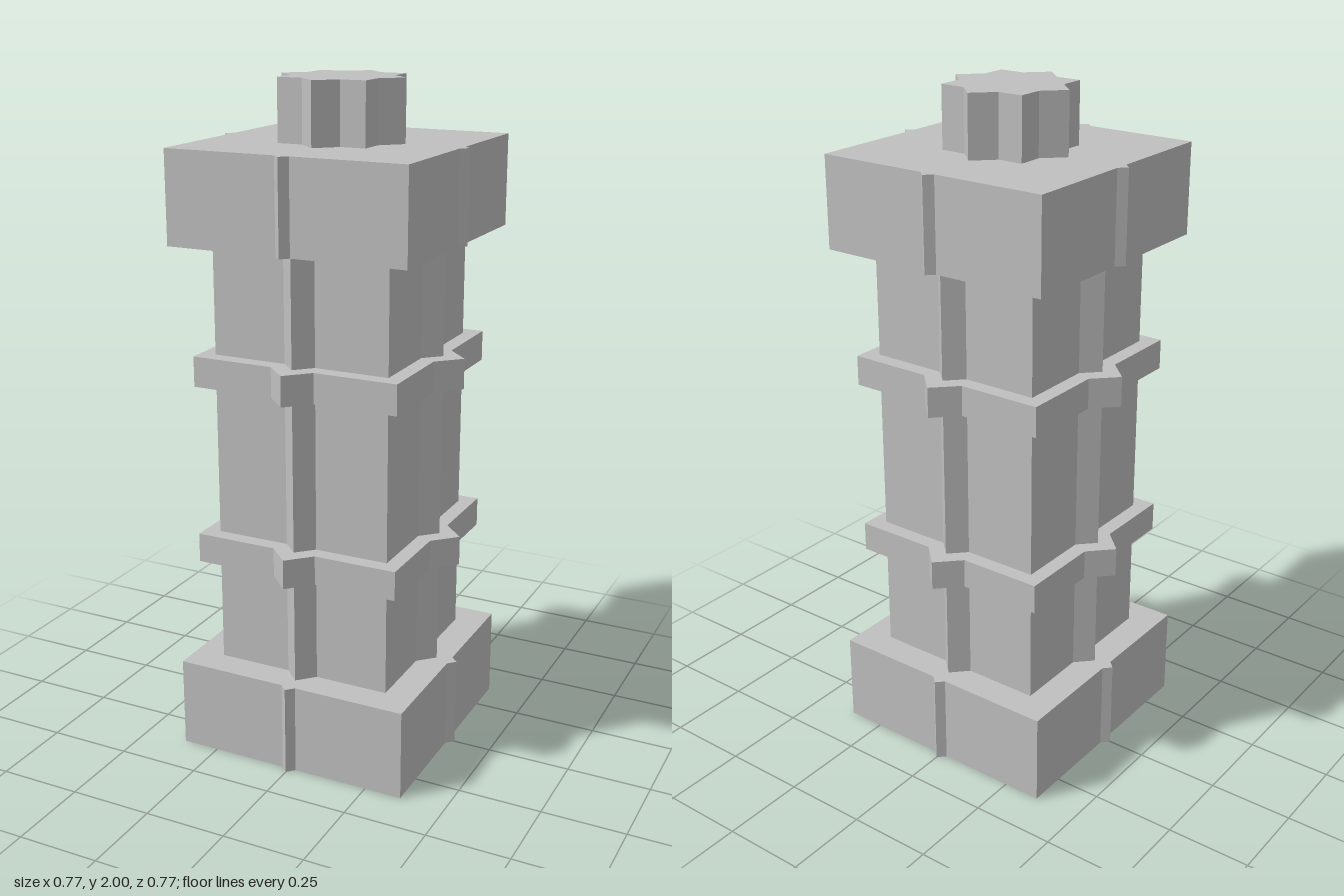
import * as THREE from 'three';

// Square outline of half-width h with a 45-degree point of reach t on each side
function pointedSquare(h, t) {
  const points = [];
  const b = t - h;
  for (let i = 0; i < 4; i++) {
    const turn = i * Math.PI / 2;
    for (const [x, y] of [[h, -h], [h, -b], [t, 0], [h, b]]) {
      points.push(new THREE.Vector2(x, y).rotateAround(new THREE.Vector2(), turn));
    }
  }
  return new THREE.Shape(points);
}

export function createModel() {
  const group = new THREE.Group();
  const stone = new THREE.MeshStandardMaterial({ color: 0xc0c0c0 });
  stone.name = 'stone grey';

  // name, half-width, point reach, bottom, top
  const tiers = [
    ['base', 0.363, 0.385, 0, 0.273],
    ['shaft', 0.272, 0.32, 0.273, 1.55],
    ['lowerBand', 0.318, 0.385, 0.595, 0.683],
    ['upperBand', 0.318, 0.385, 1.138, 1.228],
    ['capital', 0.363, 0.385, 1.55, 1.82],
    ['starFinial', 0.135, 0.193, 1.82, 2],
  ];
  for (const [name, h, t, bottom, top] of tiers) {
    const geometry = new THREE.ExtrudeGeometry(pointedSquare(h, t), {
      depth: top - bottom, bevelEnabled: false,
    });
    geometry.rotateX(-Math.PI / 2);
    const mesh = new THREE.Mesh(geometry, stone);
    mesh.name = name;
    mesh.position.y = bottom;
    group.add(mesh);
  }
  return group;
}
